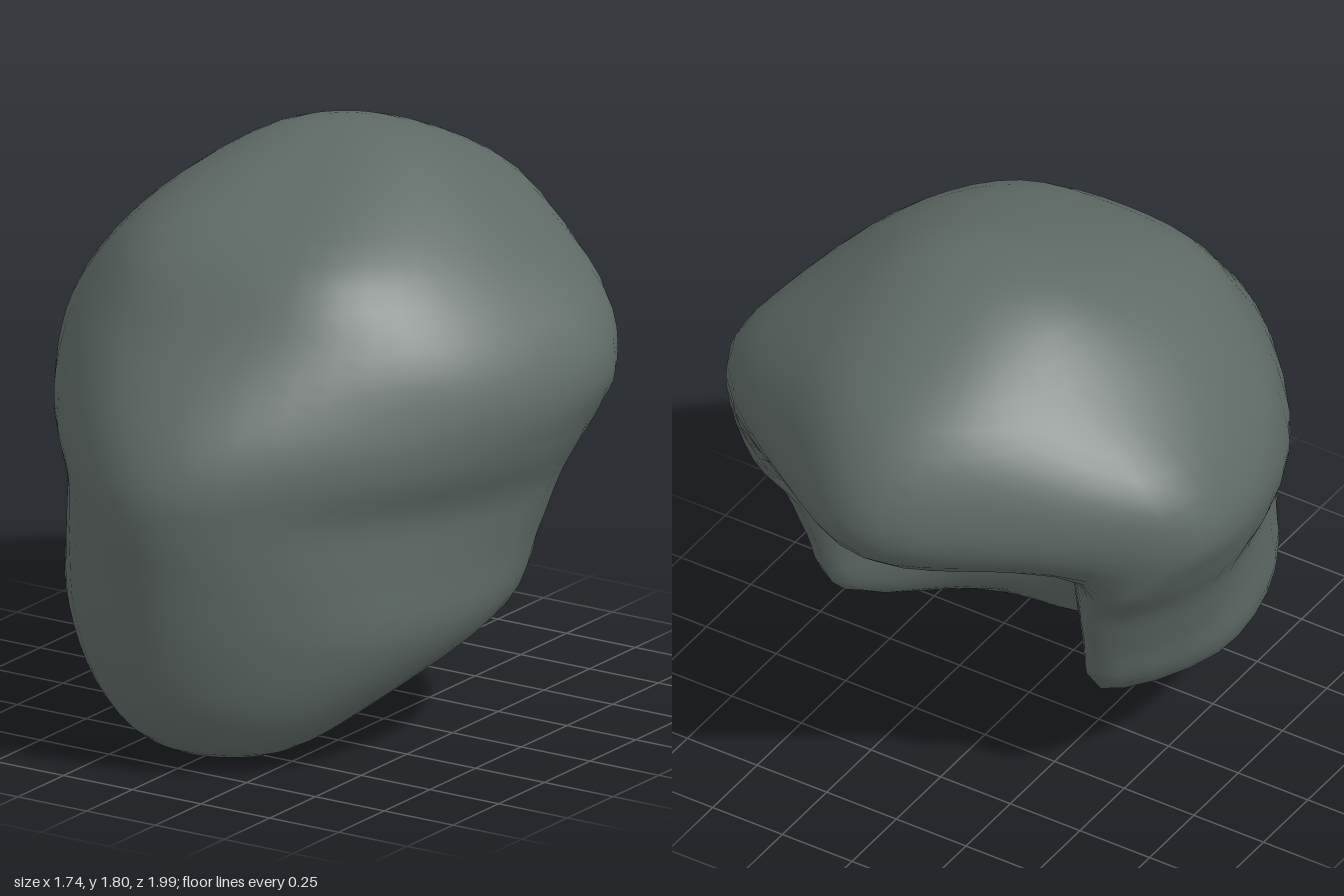
import * as THREE from 'three';
import { mergeVertices } from 'three/addons/utils/BufferGeometryUtils.js';

// Half rings from top to bottom:
// y, front z, five x/z pairs round the side, back z, lift of the hollow
const RINGS = [
  [1.75, 0.03, 0.14, 0.01, 0.24, -0.07, 0.28, -0.20, 0.24, -0.33, 0.13, -0.43, -0.46, 0],
  [1.56, 0.47, 0.30, 0.42, 0.49, 0.19, 0.56, -0.14, 0.48, -0.46, 0.26, -0.72, -0.82, 0],
  [1.33, 0.71, 0.36, 0.60, 0.65, 0.30, 0.775, -0.12, 0.74, -0.47, 0.35, -0.81, -0.985, 0],
  [1.12, 0.90, 0.36, 0.74, 0.72, 0.32, 0.86, -0.12, 0.80, -0.45, 0.37, -0.77, -0.94, 0],
  [0.95, 0.985, 0.34, 0.81, 0.70, 0.36, 0.82, -0.15, 0.66, -0.52, 0.36, -0.47, -0.56, -0.03],
  [0.80, 0.99, 0.34, 0.80, 0.65, 0.34, 0.75, -0.16, 0.53, -0.47, 0.27, -0.22, 0.00, 0.20],
  [0.62, 0.96, 0.35, 0.78, 0.63, 0.38, 0.705, -0.10, 0.50, -0.41, 0.25, -0.14, 0.08, 0],
  [0.41, 0.925, 0.33, 0.77, 0.59, 0.46, 0.665, 0.02, 0.46, -0.32, 0.24, -0.04, 0.16, 0],
  [0.20, 0.86, 0.25, 0.76, 0.42, 0.58, 0.47, 0.33, 0.34, 0.12, 0.18, 0.18, 0.26, 0],
  [0.05, 0.73, 0.14, 0.69, 0.24, 0.60, 0.26, 0.50, 0.21, 0.40, 0.11, 0.36, 0.37, 0],
];
const COLS = 12;
const STEPS = 4;

// Mirror a half ring into a closed ring of control points
function fullRing([y, front, ...rest]) {
  const lift = rest[11];
  const half = [new THREE.Vector3(0, y, front)];
  for (let i = 0; i < 5; i++) {
    half.push(new THREE.Vector3(rest[2 * i], y + (i === 4 ? lift / 2 : 0), rest[2 * i + 1]));
  }
  half.push(new THREE.Vector3(0, y + lift, rest[10]));
  const mirrored = half.slice(1, 6).reverse().map((p) => new THREE.Vector3(-p.x, p.y, p.z));
  return [...half, ...mirrored];
}

function spline(a, b, c, d, t) {
  const v = new THREE.Vector3();
  for (const k of ['x', 'y', 'z']) {
    const m0 = (c[k] - a[k]) / 2;
    const m1 = (d[k] - b[k]) / 2;
    v[k] = b[k] + t * (m0 + t * (3 * (c[k] - b[k]) - 2 * m0 - m1 + t * (2 * (b[k] - c[k]) + m0 + m1)));
  }
  return v;
}

function shellGeometry() {
  const pole = (y, z) => Array.from({ length: COLS }, () => new THREE.Vector3(0, y, z));
  const rows = [pole(1.8, -0.2), ...RINGS.map(fullRing), pole(0, 0.53)];
  const last = rows.length - 1;

  // Columns run on over each pole to the opposite side
  const at = (r, c) => {
    if (r < 0) return rows[-r][(c + COLS / 2) % COLS];
    if (r > last) return rows[2 * last - r][(c + COLS / 2) % COLS];
    return rows[r][c];
  };

  // Smooth down the columns, then round each ring
  const grid = [];
  for (let i = 0; i <= last * STEPS; i++) {
    const r = Math.min(Math.floor(i / STEPS), last - 1);
    const t = i / STEPS - r;
    const ring = [];
    for (let c = 0; c < COLS; c++) {
      ring.push(spline(at(r - 1, c), at(r, c), at(r + 1, c), at(r + 2, c), t));
    }
    const fine = [];
    for (let j = 0; j < COLS * STEPS; j++) {
      const c = Math.floor(j / STEPS);
      const p = (k) => ring[(c + k + COLS) % COLS];
      fine.push(spline(p(-1), p(0), p(1), p(2), (j % STEPS) / STEPS));
    }
    grid.push(fine);
  }

  // Two triangles per cell, one where the cell touches a pole
  const n = COLS * STEPS;
  const bands = grid.length - 1;
  const index = [];
  for (let i = 0; i < bands; i++) {
    for (let j = 0; j < n; j++) {
      const a = i * n + j;
      const d = i * n + ((j + 1) % n);
      if (i > 0) index.push(a, d + n, d);
      if (i < bands - 1) index.push(a, a + n, d + n);
    }
  }

  let geometry = new THREE.BufferGeometry().setFromPoints(grid.flat());
  geometry.setIndex(index);
  geometry = mergeVertices(geometry, 1e-5);
  geometry.computeVertexNormals();
  return geometry;
}

export function createModel() {
  const slate = new THREE.MeshStandardMaterial({ color: 0x5f6a66 });
  slate.name = 'slate grey';

  const model = new THREE.Group();
  model.name = 'hollowBoulder';

  // Rounded body with a rear overhang above a pinched hollow
  const shell = new THREE.Mesh(shellGeometry(), slate);
  shell.name = 'shell';
  model.add(shell);
  return model;
}
